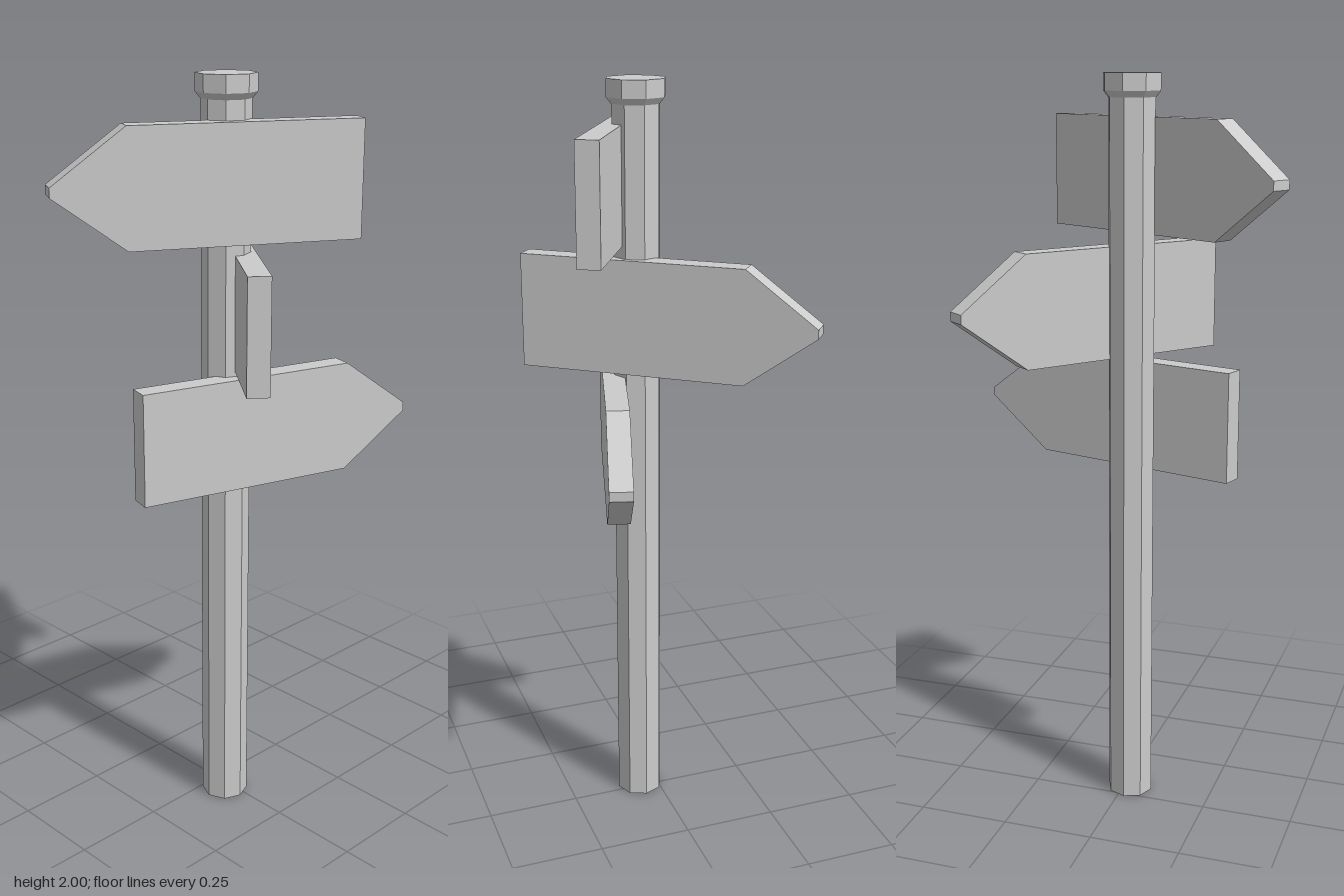
import * as THREE from 'three';

const material = new THREE.MeshStandardMaterial({ color: 0xcccccc, flatShading: true });
const POST_X = -0.018, POST_Z = 0.05;

// Arrow-shaped board running from its tail to its tip, each given as [x, z]
function makeBoard(name, [tx, tz], [px, pz], y) {
  const length = Math.hypot(px - tx, pz - tz);
  const half = 0.148, point = 0.186, blunt = 0.012, thickness = 0.058;
  const shape = new THREE.Shape([
    [0, -half], [length - point, -half], [length, -blunt],
    [length, blunt], [length - point, half], [0, half],
  ].map(([x, h]) => new THREE.Vector2(x, h)));
  const geometry = new THREE.ExtrudeGeometry(shape, { depth: thickness, bevelEnabled: false });
  geometry.translate(0, 0, -thickness / 2);
  const board = new THREE.Mesh(geometry, material);
  board.name = name;
  board.position.set(tx, y, tz);
  board.rotation.y = Math.atan2(tz - pz, px - tx);
  return board;
}

// Eight-sided upright section between two heights
function makeSection(name, topRadius, bottomRadius, y0, y1) {
  const mesh = new THREE.Mesh(new THREE.CylinderGeometry(topRadius, bottomRadius, y1 - y0, 8), material);
  mesh.name = name;
  mesh.position.set(POST_X, (y0 + y1) / 2, POST_Z);
  return mesh;
}

export function createModel() {
  const group = new THREE.Group();
  group.name = 'signpost';

  // Post with a flared cap
  group.add(
    makeSection('post', 0.063, 0.063, 0, 1.95),
    makeSection('capFlare', 0.077, 0.064, 1.94, 1.956),
    makeSection('cap', 0.077, 0.077, 1.956, 2),
  );

  // Three direction boards fixed to the side of the post
  group.add(
    makeBoard('upperBoard', [0.243, 0.256], [-0.443, -0.116], 1.744),
    makeBoard('middleBoard', [-0.16, 0.305], [0.322, -0.308], 1.417),
    makeBoard('lowerBoard', [-0.304, 0.033], [0.447, 0.249], 1.107),
  );
  return group;
}
